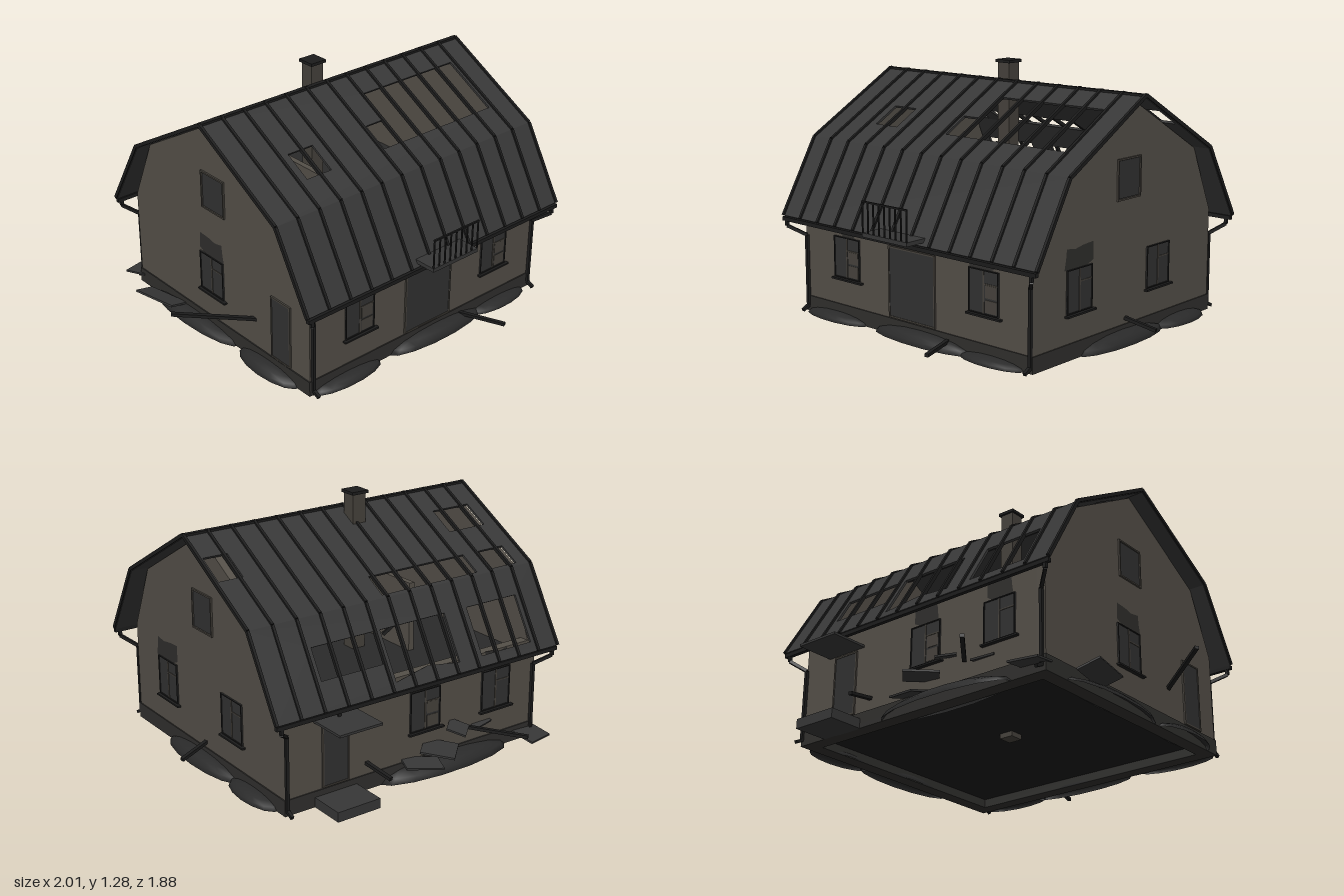
import * as THREE from 'three';

const mat = (name, color, side = THREE.FrontSide) => {
  const m = new THREE.MeshStandardMaterial({ color, side });
  m.name = name;
  return m;
};

export function createModel() {
  const root = new THREE.Group();
  root.name = 'ruinedHouse';
  const plaster = mat('plaster', 0x544f48);
  const roofing = mat('roofSheet', 0x373737);
  const black = mat('blackMetal', 0x1c1c1c);
  const plinthMat = mat('plinthStone', 0x302f2d);
  const pane = mat('darkPane', 0x313131);
  const soot = mat('soot', 0x2f2e2c, THREE.DoubleSide);
  const brick = mat('chimneyBrick', 0x46423c);
  const rubble = mat('rubble', 0x2a2a2a, THREE.DoubleSide);

  const add = (name, geo, m, parent = root) => {
    const mesh = new THREE.Mesh(geo, m);
    mesh.name = name;
    parent.add(mesh);
    return mesh;
  };
  // box from min and max corners
  const box = (name, m, x0, x1, y0, y1, z0, z1, parent = root) => {
    const b = add(name, new THREE.BoxGeometry(x1 - x0, y1 - y0, z1 - z0), m, parent);
    b.position.set((x0 + x1) / 2, (y0 + y1) / 2, (z0 + z1) / 2);
    return b;
  };
  // straight square bar between two points
  const beam = (name, m, a, b, w = 0.016, h = w) => {
    const A = new THREE.Vector3(...a), B = new THREE.Vector3(...b);
    const o = add(name, new THREE.BoxGeometry(w, h, A.distanceTo(B)), m);
    o.position.copy(A).add(B).multiplyScalar(0.5);
    o.lookAt(B);
    return o;
  };
  const poly = (pts) => new THREE.Shape(pts.map((p) => new THREE.Vector2(...p)));
  const extrude = (shape, depth) => new THREE.ExtrudeGeometry(shape, { depth, bevelEnabled: false });

  // Main outline
  const X0 = -0.68, X1 = 0.84, ZF = 0.70, ZB = -0.68, T = 0.05;
  const ridge = [0.01, 1.19], kneeF = [0.56, 0.88], kneeB = [-0.535, 0.88];
  const eaveF = [0.78, 0.5], eaveB = [-0.76, 0.5], RX0 = -0.76, RX1 = 0.93;

  // Gable walls
  const gable = poly([[-ZF, 0.07], [-ZB, 0.07], [-ZB, 0.53], [0.53, 0.865], [-0.01, 1.172], [-0.55, 0.865], [-ZF, 0.53]]);
  for (const x of [X0, X1 - T]) {
    const g = add('gableWall', extrude(gable, T), plaster);
    g.rotation.y = Math.PI / 2;
    g.position.x = x;
  }
  // Long walls, plinth ring, floors
  box('frontWall', plaster, X0 + T, X1 - T, 0.07, 0.53, ZF - T, ZF);
  box('backWall', plaster, X0 + T, X1 - T, 0.07, 0.53, ZB, ZB + T);
  const e = 0.006;
  box('plinthFront', plinthMat, X0 - e, X1 + e, 0, 0.08, ZF - 0.07, ZF + e);
  box('plinthBack', plinthMat, X0 - e, X1 + e, 0, 0.08, ZB - e, ZB + 0.07);
  box('plinthRight', plinthMat, X0 - e, X0 + 0.07, 0, 0.08, ZB + 0.07, ZF - 0.07);
  box('plinthLeft', plinthMat, X1 - 0.07, X1 + e, 0, 0.08, ZB + 0.07, ZF - 0.07);
  box('groundFloor', black, X0 + 0.06, X1 - 0.06, 0.045, 0.07, ZB + 0.06, ZF - 0.06);
  box('atticFloor', rubble, X0 + T, X1 - T, 0.43, 0.46, ZB + T, ZF - T);
  box('atticPartition', plaster, -0.2, -0.17, 0.46, 0.82, -0.3, 0.4);

  // Roof slopes; hole corners are [x, fraction down from the upper edge]
  const rect = (x0, x1, a, b) => [[x0, a], [x1, a], [x1, b], [x0, b]];
  const slope = (name, low, high, thick, holes) => {
    const dz = high[0] - low[0], dy = high[1] - low[1], L = Math.hypot(dz, dy);
    const s = poly([[RX0, 0], [RX1, 0], [RX1, L], [RX0, L]]);
    holes.forEach((h) => s.holes.push(poly(h.map(([x, f]) => [x, L * (1 - f)]))));
    const geo = extrude(s, thick);
    if (dz < 0) geo.translate(0, 0, -thick);
    const Y = new THREE.Vector3(0, dy / L, dz / L), X = new THREE.Vector3(1, 0, 0);
    const m = new THREE.Matrix4().makeBasis(X, Y, X.clone().cross(Y)).setPosition(0, low[1], low[0]);
    add(name, geo.applyMatrix4(m), roofing);
  };
  slope('roofFrontUpper', kneeF, ridge, 0.012, [
    rect(-0.45, -0.3, 0.49, 0.74),
    [[0.15, 0.22], [0.78, 0.22], [0.78, 0.74], [0.04, 0.74], [0.04, 0.5], [0.15, 0.5]],
  ]);
  slope('roofFrontLower', eaveF, kneeF, 0.012, []);
  slope('roofBackUpper', kneeB, ridge, 0.012, [
    rect(0.78, 0.91, 0.26, 0.51), rect(-0.68, -0.45, 0.26, 0.51),
    rect(-0.68, -0.52, 0.77, 0.97), rect(-0.42, 0.17, 0.77, 0.97),
  ]);
  slope('roofBackLower', eaveB, kneeB, 0.012, [
    rect(-0.6, -0.28, 0.32, 0.88), rect(0.28, 0.64, 0.32, 0.68),
    [[-0.14, 0.32], [0.25, 0.32], [0.25, 0.9], [0.05, 0.82], [-0.14, 0.88]],
  ]);
  // Standing seams follow the roof outline
  const line = [eaveF, kneeF, ridge, kneeB, eaveB];
  for (let i = 0; i < 14; i++) {
    const x = RX0 + 0.13 * i;
    for (let k = 0; k < 4; k++) {
      beam('roofSeam', black, [x, line[k][1], line[k][0]], [x, line[k + 1][1], line[k + 1][0]], 0.014, 0.018);
    }
  }
  beam('ridgeCap', black, [RX0, 1.188, 0.01], [RX1, 1.188, 0.01], 0.025, 0.012);

  // Gutters and downpipes
  for (const [zE, zW] of [[0.78, 0.71], [-0.75, -0.69]]) {
    beam('gutter', black, [RX0, 0.485, zE], [RX1, 0.485, zE], 0.02);
    for (const [xE, xW] of [[-0.735, -0.665], [0.9, 0.835]]) {
      const path = [[xE, 0.48, zE], [xE, 0.45, zE], [xW, 0.4, zW], [xW, 0.03, zW], [xW, 0.01, zW + Math.sign(zW) * 0.04]];
      for (let k = 0; k < 4; k++) beam('downpipe', black, path[k], path[k + 1], 0.016);
    }
  }

  // Chimney
  box('chimney', brick, -0.03, 0.045, 0.02, 1.27, -0.115, -0.04);
  box('chimneyCap', black, -0.04, 0.055, 1.268, 1.283, -0.125, -0.03);

  // Facades: local x along the wall, local z outwards
  const facade = (name, x, z, ry) => {
    const g = new THREE.Group();
    g.name = name;
    g.position.set(x, 0, z);
    g.rotation.y = ry;
    root.add(g);
    return g;
  };
  const front = facade('frontOpenings', 0, ZF, 0);
  const back = facade('backOpenings', 0, ZB, Math.PI);
  const left = facade('leftOpenings', X1, 0, Math.PI / 2);
  const right = facade('rightOpenings', X0, 0, -Math.PI / 2);

  const frame = (g, x0, x1, y0, y1, m, w = 0.008) => {
    box('frame', m, x0, x0 + w, y0, y1, 0, 0.009, g);
    box('frame', m, x1 - w, x1, y0, y1, 0, 0.009, g);
    box('frame', m, x0 + w, x1 - w, y1 - w, y1, 0, 0.009, g);
    box('frame', m, x0 + w, x1 - w, y0, y0 + w, 0, 0.009, g);
  };
  const windowAt = (g, cx, stain, open = false) => {
    const x0 = cx - 0.092, x1 = cx + 0.092;
    box('windowPane', pane, x0, x1, 0.22, 0.43, 0, 0.004, g);
    if (open) {
      box('brokenPane', brick, cx + 0.01, x1 - 0.012, 0.23, 0.29, 0, 0.006, g);
      box('brokenPane', brick, cx + 0.01, x1 - 0.012, 0.3, 0.36, 0, 0.006, g);
    }
    frame(g, x0, x1, 0.22, 0.43, black, 0.005);
    box('mullion', brick, cx - 0.004, cx + 0.004, 0.225, 0.425, 0, 0.007, g);
    box('transom', brick, cx, x1 - 0.005, 0.361, 0.367, 0, 0.007, g);
    box('windowSill', black, x0 - 0.01, x1 + 0.02, 0.208, 0.217, 0, 0.02, g);
    if (stain) {
      const s = [[-0.05, 0], [0.1, 0], [0.09, 0.05], [0.085, 0.1], [0.03, 0.09], [-0.02, 0.1], [-0.09, 0.105], [-0.092, 0.02]];
      add('sootStain', new THREE.ShapeGeometry(poly(s.map(([x, y]) => [cx + x * stain, 0.43 + y]))), soot, g).position.z = 0.003;
    }
  };
  const attic = (g) => {
    box('atticPane', pane, -0.09, 0.07, 0.7, 0.88, 0, 0.004, g);
    frame(g, -0.1, 0.08, 0.69, 0.89, brick);
  };
  const door = (g, x0, x1, y1) => {
    box('doorLeaf', pane, x0, x1, 0.09, y1, 0, 0.006, g);
    frame(g, x0 - 0.006, x1 + 0.006, 0.085, y1 + 0.006, brick);
  };
  windowAt(front, -0.37, 0.55, true);
  windowAt(front, 0.55, -0.9, true);
  door(front, -0.065, 0.235, 0.435);
  windowAt(back, -0.03, 0.8, true);
  windowAt(back, 0.42, 0.8);
  door(back, -0.63, -0.49, 0.41);
  windowAt(left, -0.375, -1.1);
  windowAt(left, 0.235, 0);
  attic(left);
  windowAt(right, -0.04, 1);
  attic(right);
  door(right, 0.43, 0.56, 0.42);

  // Balcony with railing
  box('balconySlab', roofing, -0.065, 0.235, 0.515, 0.535, 0.7, 0.88);
  for (let i = 0; i <= 8; i++) {
    const x = -0.062 + i * 0.0368;
    box('railingBar', black, x - 0.003, x + 0.003, 0.53, 0.685, 0.873, 0.88);
  }
  box('railingTop', black, -0.067, 0.237, 0.682, 0.69, 0.872, 0.881);

  // Rear porch
  box('porchCanopy', roofing, 0.44, 0.68, 0.425, 0.437, -0.885, -0.68);
  box('canopyBracket', black, 0.55, 0.565, 0.43, 0.52, -0.715, -0.705);
  box('porchStep', roofing, 0.44, 0.68, 0, 0.05, -0.87, -0.68);

  // Low rubble mounds along the foot of the walls
  const mound = (x, z, w, h, d) => {
    const m = add('rubbleMound', new THREE.SphereGeometry(1, 14, 4, 0, Math.PI * 2, 0, Math.PI / 2), rubble);
    m.scale.set(w, h, d);
    m.position.set(x, 0, z);
  };
  mound(0.15, ZF, 0.32, 0.06, 0.075);
  mound(-0.45, ZF, 0.22, 0.04, 0.07);
  mound(0.6, ZF, 0.2, 0.035, 0.07);
  mound(X1, 0.05, 0.08, 0.06, 0.32);
  mound(X1, -0.42, 0.08, 0.045, 0.2);
  mound(X0, -0.2, 0.08, 0.05, 0.35);
  mound(X0, 0.4, 0.08, 0.05, 0.22);
  mound(-0.1, ZB, 0.4, 0.07, 0.1);

  // Fallen planks
  const planks = [
    [[-1, 0.275, 0.05], [-0.67, 0.23, 0.3]], [[0.84, 0.11, 0.02], [1, 0.07, -0.015]],
    [[0.32, 0.045, 0.7], [0.41, 0.05, 0.935]], [[-0.42, 0.15, -0.935], [-0.22, 0.17, -0.69]],
    [[0.355, 0.11, -0.84], [0.38, 0.14, -0.68]], [[0.15, 0.85, 0.26], [0.45, 0.7, 0.35]],
    [[-0.12, 0.75, -0.41], [0.02, 0.6, -0.33]], [[0.55, 0.47, 0.35], [0.75, 0.7, 0.15]],
  ];
  planks.forEach(([a, b]) => beam('fallenPlank', black, a, b, 0.02, 0.016));

  // Fallen roof sheets, tilted
  const sheet = (x, y, z, w, d, rx, ry, rz) => {
    const s = add('fallenSheet', new THREE.BoxGeometry(w, 0.01, d), roofing);
    s.position.set(x, y, z);
    s.rotation.set(rx, ry, rz);
  };
  sheet(-0.63, 0.04, -0.73, 0.15, 0.14, -0.2, 0.18, 0.05);
  sheet(-0.01, 0.13, -0.75, 0.17, 0.17, -0.15, 0.75, 0.1);
  sheet(-0.14, 0.2, -0.73, 0.1, 0.1, -0.4, 0.7, 0.1);
  sheet(-0.33, 0.16, -0.68, 0.12, 0.05, -0.3, 0.2, 0);
  sheet(0.08, 0.07, -0.73, 0.2, 0.1, -0.2, -0.3, 0.1);
  sheet(-0.76, 0.065, -0.39, 0.12, 0.25, 0, 0.2, -0.3);
  sheet(0.67, 0.5, 0.25, 0.2, 0.28, 0.25, -0.4, 0.1);
  return root;
}
